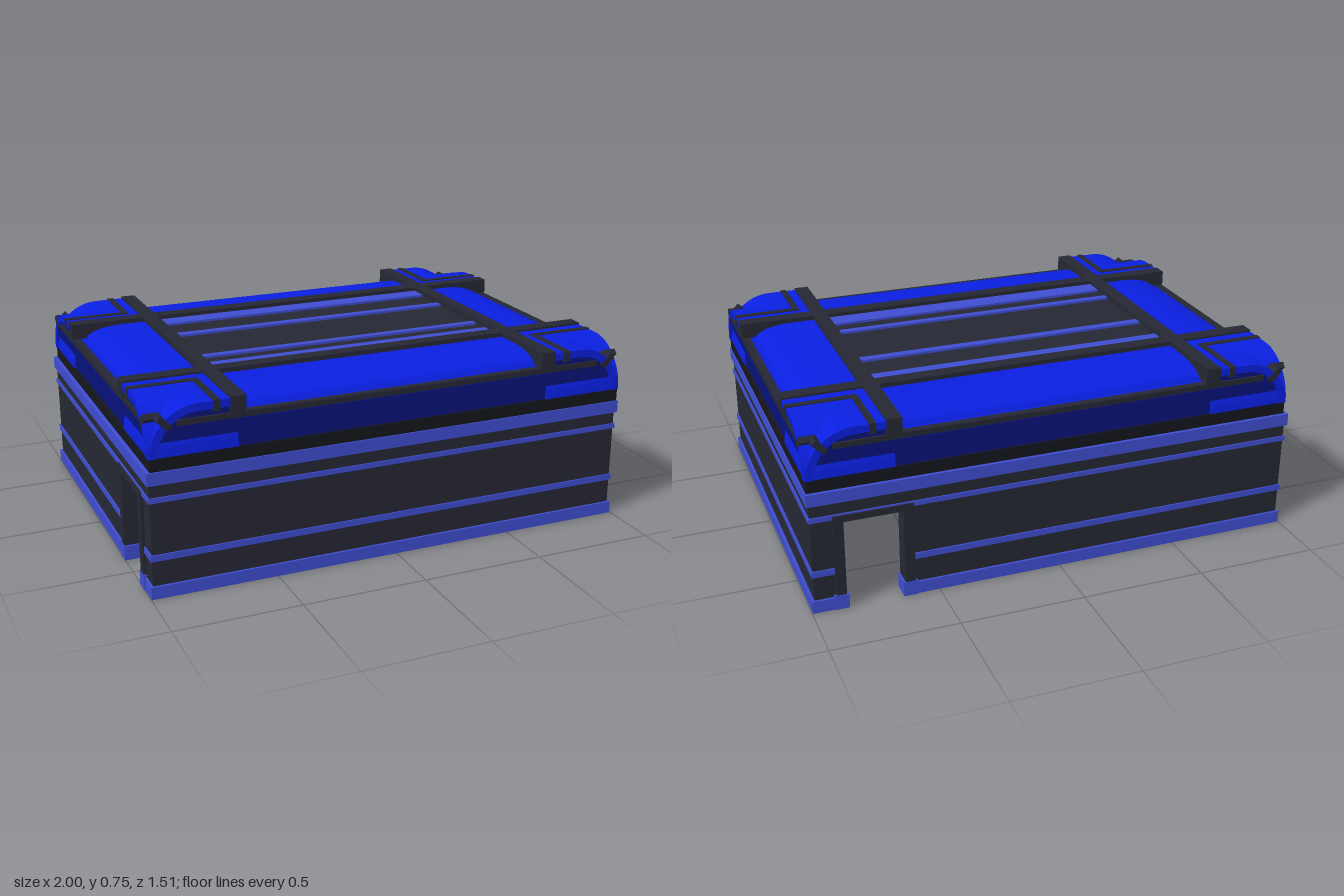
import * as THREE from 'three';
import { toCreasedNormals } from 'three/addons/utils/BufferGeometryUtils.js';

const mat = (color) => new THREE.MeshStandardMaterial({ color });
const DARK = mat(0x252733), BASE = mat(0x15161c), BAND = mat(0x3f4dd0), ROOF = mat(0x0a1fe0), GABLE = mat(0x07127a);

const HX = 0.988, HZ = 0.74;   // half size of the body
const T = 0.05;                // wall thickness
const EAVE = 0.55, TOP = 0.74, R = 0.19;
const DOOR = { half: 0.125, top: 0.38 };

export function createModel() {
  const model = new THREE.Group();
  const add = (parent, name, geo, m) => {
    const mesh = new THREE.Mesh(geo, m);
    mesh.name = name;
    parent.add(mesh);
    return mesh;
  };
  // box given by its limits
  const box = (parent, name, m, x0, x1, y0, y1, z0, z1) => {
    const b = add(parent, name, new THREE.BoxGeometry(x1 - x0, y1 - y0, z1 - z0), m);
    b.position.set((x0 + x1) / 2, (y0 + y1) / 2, (z0 + z1) / 2);
    return b;
  };
  const group = (name, parent = model) => {
    const g = new THREE.Group();
    g.name = name;
    parent.add(g);
    return g;
  };
  // profile extruded along z, or along x when alongX is set
  const extrude = (parent, name, m, shape, from, to, alongX) => {
    let g = new THREE.ExtrudeGeometry(shape, { depth: to - from, bevelEnabled: false, curveSegments: 12 });
    g.translate(0, 0, from);
    if (alongX) g.rotateY(Math.PI / 2);
    return add(parent, name, toCreasedNormals(g, 0.5), m);
  };

  // walls: rows of [bottom, top, colour, how far the row stands out]
  const rows = [
    [0, 0.05, BAND, 0.01], [0.05, 0.15, DARK, 0], [0.15, 0.175, BAND, 0.006], [0.175, 0.38, DARK, 0],
    [0.38, 0.4, BAND, 0.006], [0.4, 0.45, DARK, 0], [0.45, 0.5, BAND, 0.01],
  ];
  // each wall is built facing +z, then turned
  const wall = (name, half, dist, angle, door) => {
    const g = group(name);
    g.rotation.y = angle;
    for (const [y0, y1, m, out] of rows) {
      const e = half + out, z0 = dist - T - out, z1 = dist + out;
      const row = (a, b) => box(g, m === BAND ? 'wallBand' : 'wallPanel', m, a, b, y0, y1, z0, z1);
      if (door !== undefined && y1 <= DOOR.top) {
        row(-e, door - DOOR.half);
        row(door + DOOR.half, e);
      } else row(-e, e);
    }
    // inner posts at the panel joints
    for (let u = -0.5; u <= 0.5; u += 0.5) {
      if (door !== undefined && Math.abs(u - door) < 0.2) continue;
      for (const s of [-1, 1]) box(g, 'innerPost', DARK, u + s * 0.02 - 0.008, u + s * 0.02 + 0.008, 0.05, 0.45, dist - T - 0.014, dist - T);
    }
    if (door === undefined) return;
    // door frame
    for (const s of [-1, 1]) {
      const c = door + s * (DOOR.half + 0.01);
      box(g, 'doorJamb', DARK, c - 0.02, c + 0.02, 0.05, DOOR.top, dist - T - 0.012, dist + 0.012);
      box(g, 'doorJambFoot', BAND, c - 0.028, c + 0.028, 0, 0.06, dist - T - 0.014, dist + 0.014);
    }
    box(g, 'doorLintel', DARK, door - 0.155, door + 0.155, DOOR.top - 0.012, DOOR.top + 0.015, dist - T - 0.012, dist + 0.012);
  };
  wall('frontWall', HX, HZ, 0);
  wall('leftWall', HZ, HX, Math.PI / 2);
  wall('backWall', HX, HZ, Math.PI, -0.75);
  wall('rightWall', HZ, HX, -Math.PI / 2, 0.5);

  // roof
  const roof = group('roof');
  roof.position.set(0.005, 0, 0.004);
  for (const s of [-1, 1]) {
    const zi = s * (HZ - T / 2), xi = s * (HX - T / 2);
    box(roof, 'roofBase', BASE, -HX, HX, 0.5, EAVE, zi - T / 2, zi + T / 2);
    box(roof, 'roofBase', BASE, xi - T / 2, xi + T / 2, 0.5, EAVE, -HZ, HZ);
  }

  // curved shell that rises from the eave to the flat top, on side s
  const vault = (edge, inner, s, t = 0.03) => {
    const sh = new THREE.Shape(), k = 0.55, r = R - t;
    sh.moveTo(s * edge, EAVE);
    sh.bezierCurveTo(s * edge, EAVE + R * k, s * (edge - R * (1 - k)), TOP, s * (edge - R), TOP);
    sh.lineTo(s * inner, TOP);
    sh.lineTo(s * inner, TOP - t);
    sh.lineTo(s * (edge - R), TOP - t);
    sh.bezierCurveTo(s * (edge - t - r * (1 - k)), TOP - t, s * (edge - t), EAVE + r * k, s * (edge - t), EAVE);
    sh.closePath();
    return sh;
  };
  // upright end face: rounded high ends, lower middle
  const gable = (edge, step) => {
    const sh = new THREE.Shape(), k = 0.55, y = TOP - 0.01;
    sh.moveTo(-edge, EAVE);
    sh.lineTo(edge, EAVE);
    sh.bezierCurveTo(edge, EAVE + R * k, edge - R * (1 - k), y, edge - R, y);
    sh.lineTo(step, y);
    sh.lineTo(step, 0.66);
    sh.lineTo(-step, 0.66);
    sh.lineTo(-step, y);
    sh.lineTo(-edge + R, y);
    sh.bezierCurveTo(-edge + R * (1 - k), y, -edge, EAVE + R * k, -edge, EAVE);
    return sh;
  };
  // low padded strip between two beams, with a ledge at the edge
  const strip = (edge, inner, s) => {
    const sh = new THREE.Shape();
    sh.moveTo(s * edge, 0.66);
    sh.lineTo(s * edge, 0.68);
    sh.lineTo(s * (edge - 0.05), 0.68);
    sh.bezierCurveTo(s * (edge - 0.06), 0.71, s * (edge - 0.12), 0.728, s * (edge - 0.2), 0.73);
    sh.lineTo(s * inner, 0.73);
    sh.lineTo(s * inner, 0.7);
    sh.lineTo(s * (edge - 0.2), 0.7);
    sh.lineTo(s * (edge - 0.1), 0.66);
    sh.closePath();
    return sh;
  };

  const BX = 0.65, BZ = 0.4, BW = 0.03;   // beam positions and half width
  for (const s of [-1, 1]) {
    const span = (a, b) => (s > 0 ? [a, b] : [-b, -a]);
    const xs = span(BX, HX + 0.005), zs = span(BZ, HZ + 0.004);
    // crossing vaults at the corners
    for (const q of [-1, 1]) {
      extrude(roof, 'cornerVault', ROOF, vault(HZ, BZ, q), ...xs, true);
      extrude(roof, 'cornerVault', ROOF, vault(HX, BX, q), ...zs, false);
    }
    extrude(roof, 'gable', GABLE, gable(HX - 0.01, BX), ...span(HZ - 0.035, HZ - 0.008), false);
    extrude(roof, 'gable', GABLE, gable(HZ - 0.01, BZ), ...span(HX - 0.035, HX - 0.008), true);
    extrude(roof, 'eaveStrip', ROOF, strip(HX, BX, s), -BZ, BZ, false);
    extrude(roof, 'eaveStrip', ROOF, strip(HZ, BZ, s), -BX, BX, true);
    // dark trim along the ledges
    const tz = span(HZ - 0.03, HZ + 0.002), tx = span(HX - 0.03, HX + 0.002);
    box(roof, 'ledgeTrim', DARK, -0.88, 0.88, 0.662, 0.684, ...tz);
    box(roof, 'ledgeTrim', DARK, ...tx, 0.662, 0.684, -0.64, 0.64);
    // crossing beams
    box(roof, 'longBeam', DARK, -HX - 0.006, HX + 0.006, 0.685, 0.748, s * BZ - BW, s * BZ + BW);
    box(roof, 'crossBeam', DARK, s * BX - BW, s * BX + BW, 0.685, 0.748, -HZ - 0.005, HZ + 0.005);
    // dark stripes on the corner vaults
    for (const q of [-1, 1]) {
      const qz = q > 0 ? [0.48, HZ + 0.008] : [-HZ - 0.008, -0.48];
      const qx = q > 0 ? [0.72, HX + 0.008] : [-HX - 0.008, -0.72];
      box(roof, 'cornerStripe', DARK, s * 0.732 - 0.013, s * 0.732 + 0.013, 0.7, 0.744, ...qz);
      box(roof, 'cornerStripe', DARK, ...qx, 0.7, 0.744, s * 0.492 - 0.013, s * 0.492 + 0.013);
      // slanted clips on the curved rims
      const a = add(roof, 'rimClip', new THREE.BoxGeometry(0.06, 0.025, 0.06), DARK);
      a.position.set(s * (HX - 0.06), 0.678, q * (HZ - 0.024));
      a.rotation.z = s * 0.75;
      const b = add(roof, 'rimClip', new THREE.BoxGeometry(0.06, 0.025, 0.06), DARK);
      b.position.set(s * (HX - 0.024), 0.678, q * (HZ - 0.06));
      b.rotation.x = -q * 0.75;
    }
  }

  // middle deck with raised bands
  box(roof, 'deck', DARK, -BX, BX, 0.69, 0.722, -BZ, BZ);
  for (const [a, b] of [[-0.37, -0.29], [-0.145, -0.11], [0.18, 0.21], [0.285, 0.37]])
    box(roof, 'deckBand', BAND, -0.62, 0.62, 0.68, 0.732, a, b);

  return model;
}
